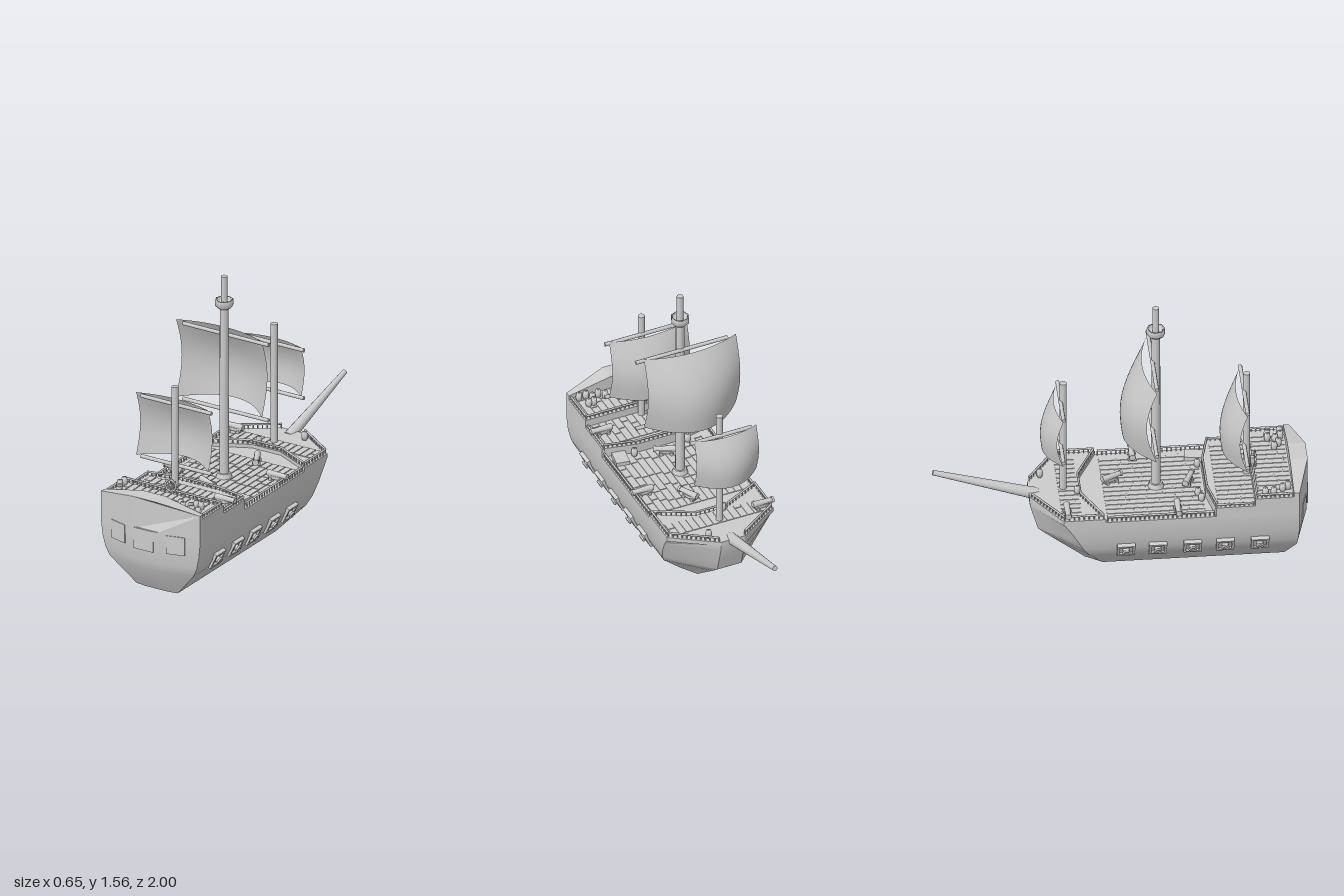
import * as THREE from 'three';
import { mergeGeometries, toCreasedNormals } from 'three/addons/utils/BufferGeometryUtils.js';

const grey = new THREE.MeshStandardMaterial({ color: 0xcccccc });
const thin = new THREE.MeshStandardMaterial({ color: 0xcccccc, side: THREE.DoubleSide });
const V = (x, y, z) => new THREE.Vector3(x, y, z);
const box = (w, h, d, x, y, z) => new THREE.BoxGeometry(w, h, d).translate(x, y, z);

// tapered round bar between two points
function bar(a, b, r0, r1 = r0, sides = 12) {
  const dir = b.clone().sub(a);
  const g = new THREE.CylinderGeometry(r1, r0, dir.length(), sides);
  g.applyQuaternion(new THREE.Quaternion().setFromUnitVectors(V(0, 1, 0), dir.clone().normalize()));
  const m = a.clone().add(b).multiplyScalar(0.5);
  return g.translate(m.x, m.y, m.z);
}

// flat slab from a plan outline of [x, z] points
function slab(pts, y0, y1) {
  const s = new THREE.Shape(pts.map(([x, z]) => new THREE.Vector2(x, -z)));
  return new THREE.ExtrudeGeometry(s, { depth: y1 - y0, bevelEnabled: false }).rotateX(-Math.PI / 2).translate(0, y0, 0);
}

// hull skin from plan loops: y, half width, stern side z, stern middle z, knuckle z, bow z
function hullGeometry() {
  const levels = [
    [0, 0.13, 0.87, 0.88, -0.10, -0.19],
    [0.15, 0.265, 0.925, 0.975, -0.185, -0.38],
    [0.2, 0.288, 0.93, 0.985, -0.215, -0.44],
    [0.27, 0.304, 0.935, 0.995, -0.25, -0.46],
    [0.35, 0.312, 0.935, 1, -0.295, -0.483],
    [0.39, 0.312, 0.935, 1, -0.325, -0.485],
  ];
  const loops = levels.map(([y, w, ss, sc, k, b]) =>
    [[w, ss], [w, k], [0.07, b], [-0.07, b], [-w, k], [-w, ss], [-0.07, sc], [0.07, sc]].map(([x, z]) => V(x, y, z)));
  const tri = [], n = 8, top = loops.length - 1;
  for (let i = 0; i < top; i++) for (let j = 0; j < n; j++) {
    const a = loops[i][j], b = loops[i][(j + 1) % n], c = loops[i + 1][(j + 1) % n], d = loops[i + 1][j];
    tri.push(a, b, c, a, c, d);
  }
  for (let j = 1; j < n - 1; j++) {
    tri.push(loops[0][0], loops[0][j + 1], loops[0][j]);
    tri.push(loops[top][0], loops[top][j], loops[top][j + 1]);
  }
  const g = new THREE.BufferGeometry().setFromPoints(tri);
  g.computeVertexNormals();
  return toCreasedNormals(g, 0.45);
}

// raised stern board whose outer face is bent to follow the transom
function sternBoard() {
  const s = new THREE.Shape([[-0.312, 0.38], [-0.07, 0.38], [0.07, 0.38], [0.312, 0.38], [0.312, 0.515],
    [0.07, 0.565], [-0.07, 0.565], [-0.312, 0.515]].map(p => new THREE.Vector2(...p)));
  const g = new THREE.ExtrudeGeometry(s, { depth: 1, bevelEnabled: false });
  const p = g.attributes.position;
  for (let i = 0; i < p.count; i++)
    p.setZ(i, p.getZ(i) < 0.5 ? 0.905 : Math.abs(p.getX(i)) > 0.1 ? 0.935 : 1);
  g.computeVertexNormals();
  return g;
}

// sail billowing towards the bow
function sailGeometry(x0, x1, y0, y1, z, s) {
  const g = new THREE.PlaneGeometry(2, 1, 20, 14), p = g.attributes.position;
  for (let i = 0; i < p.count; i++) {
    const u = p.getX(i), v = 0.5 - p.getY(i);
    p.setXYZ(i, THREE.MathUtils.lerp(x0, x1, (u + 1) / 2), THREE.MathUtils.lerp(y1, y0, v),
      z - s * (0.055 * Math.sin(Math.PI * v) + (0.055 + 0.105 * v) * (1 - u * u)));
  }
  g.computeVertexNormals();
  return g;
}

// low rail with balusters along a path of [x, z] points
function rail(pts, y) {
  const parts = [];
  for (let i = 0; i + 1 < pts.length; i++) {
    const a = V(pts[i][0], y, pts[i][1]), b = V(pts[i + 1][0], y, pts[i + 1][1]);
    const up = V(0, 0.03, 0), n = Math.max(1, Math.round(a.distanceTo(b) / 0.025));
    parts.push(bar(a.clone().add(up), b.clone().add(up), 0.006, 0.006, 6));
    for (let k = 0; k <= n; k++) {
      const q = a.clone().lerp(b, k / n);
      parts.push(bar(q, q.clone().add(up), 0.004, 0.004, 5));
    }
  }
  return mergeGeometries(parts);
}

// deck gun pointing along +x
function gunGeometry() {
  const parts = [bar(V(-0.06, 0.035, 0), V(0.06, 0.035, 0), 0.018, 0.013, 10),
    bar(V(0.05, 0.035, 0), V(0.062, 0.035, 0), 0.017, 0.017, 10), box(0.08, 0.018, 0.03, -0.01, 0.018, 0)];
  for (const x of [-0.035, 0.02]) parts.push(bar(V(x, 0.01, -0.022), V(x, 0.01, 0.022), 0.01, 0.01, 8));
  return mergeGeometries(parts);
}

// staggered planks running along the ship
function planks(x, z0, z1, y, seed) {
  const parts = [], step = 0.04;
  const rnd = () => (seed = (seed * 16807) % 2147483647) / 2147483647;
  for (let px = -x + step / 2; px < x; px += step)
    for (let z = z0; z < z1 - 0.01;) {
      const len = Math.min(0.06 + 0.12 * rnd(), z1 - z);
      parts.push(box(step - 0.005, 0.004, len - 0.005, px, y + 0.002, z + len / 2));
      z += len;
    }
  return mergeGeometries(parts);
}

export function createModel() {
  const ship = new THREE.Group();
  ship.name = 'sailingShip';
  const add = (name, geo, mat = grey, parent = ship) => {
    const m = new THREE.Mesh(geo, mat);
    m.name = name;
    parent.add(m);
    return m;
  };

  // hull and stepped decks
  const W = 0.312;
  add('hull', hullGeometry());
  add('sternBoard', sternBoard());
  add('aftDeck', slab([[-W, 0.93], [W, 0.93], [W, 0.7], [-W, 0.7]], 0.38, 0.49));
  add('quarterDeck', slab([[-W, 0.71], [W, 0.71], [W, 0.49], [0.13, 0.45], [-0.13, 0.45], [-W, 0.49]], 0.38, 0.445));
  add('foreDeck', slab([[-W, -0.1], [-0.09, -0.21], [0.09, -0.21], [W, -0.1], [W, -0.325], [0.07, -0.485],
    [-0.07, -0.485], [-W, -0.325]], 0.385, 0.41));
  add('aftPlanks', planks(0.28, 0.72, 0.9, 0.49, 11));
  add('quarterPlanks', planks(0.28, 0.5, 0.7, 0.445, 23));
  add('waistPlanks', planks(0.28, -0.09, 0.44, 0.39, 37));
  add('forePlanks', planks(0.28, -0.33, -0.22, 0.41, 51));

  // rails along the sides and the deck breaks
  const R = 0.302;
  for (const s of [-1, 1]) {
    add('waistRail', rail([[s * R, 0.48], [s * R, -0.09]], 0.388));
    add('foreRail', rail([[s * R, -0.11], [s * R, -0.32], [s * 0.075, -0.475]], 0.405));
    add('quarterRail', rail([[s * R, 0.69], [s * R, 0.49]], 0.43));
    add('aftRail', rail([[s * R, 0.9], [s * R, 0.71]], 0.48));
  }
  add('foreBreakRail', rail([[-R, -0.11], [-0.09, -0.215], [0.09, -0.215], [R, -0.11]], 0.405));
  add('quarterBreakRail', rail([[-R, 0.495], [-0.13, 0.456], [0.13, 0.456], [R, 0.495]], 0.435));
  add('aftBreakRail', rail([[-R, 0.71], [R, 0.71]], 0.48));

  // stern windows
  add('middleWindow', box(0.125, 0.12, 0.02, -0.005, 0.328, 0.993));
  for (const s of [-1, 1]) {
    const w = add('sideWindow', new THREE.BoxGeometry(0.105, 0.105, 0.02));
    w.position.set(s * 0.178, 0.326, 0.965);
    w.rotation.y = s * 0.265;
  }

  // gun ports on the slanted sides
  const port = new THREE.Shape([[-0.048, -0.048], [0.048, -0.048], [0.048, 0.048], [-0.048, 0.048]].map(p => new THREE.Vector2(...p)));
  port.holes.push(new THREE.Path([[-0.034, -0.034], [-0.034, 0.034], [0.034, 0.034], [0.034, -0.034]].map(p => new THREE.Vector2(...p))));
  const frame = new THREE.ExtrudeGeometry(port, { depth: 0.026, bevelEnabled: false }).translate(0, 0, -0.012);
  const muzzle = mergeGeometries([bar(V(0, 0, -0.03), V(0, 0, 0.025), 0.02, 0.017, 12),
    new THREE.TorusGeometry(0.017, 0.006, 6, 14).translate(0, 0, 0.024)]);
  const lid = box(0.07, 0.07, 0.014, 0, 0, -0.004);
  for (const s of [-1, 1]) for (const z of [0.725, 0.54, 0.365, 0.18, 0.01]) {
    const g = new THREE.Group();
    g.name = 'gunPort';
    g.position.set(s * 0.281, 0.187, z);
    g.rotation.set(0.45, s * Math.PI / 2, 0, 'YXZ');
    add('portFrame', frame, grey, g);
    add('portBack', lid, grey, g);
    add('portMuzzle', muzzle, grey, g);
    ship.add(g);
  }

  // masts, crow's nest and bowsprit
  const mx = -0.008;
  add('mizzenMast', bar(V(mx, 0.4, 0.68), V(mx, 1.1, 0.68), 0.019));
  add('foreMast', bar(V(mx, 0.38, -0.3), V(mx, 1.1, -0.3), 0.019));
  add('mainMast', bar(V(mx, 0.36, 0.195), V(mx, 1.39, 0.195), 0.026, 0.023));
  add('mainTopmast', bar(V(mx, 1.38, 0.195), V(mx, 1.56, 0.195), 0.018));
  add('mainMastCollar', bar(V(mx, 0.39, 0.195), V(mx, 0.42, 0.195), 0.045, 0.035));
  add('crowsNest', new THREE.LatheGeometry([[0, 1.37], [0.032, 1.375], [0.05, 1.392], [0.05, 1.425], [0.04, 1.425],
    [0.04, 1.4], [0, 1.4]].map(p => new THREE.Vector2(...p)), 8).translate(mx, 0, 0.195), thin);
  add('bowsprit', bar(V(mx, 0.385, -0.44), V(mx, 0.56, -0.997), 0.033, 0.014));

  // sails, each on two yards: x range, y range, z, depth, yard half length
  for (const [name, x0, x1, y0, y1, z, s, half] of [
    ['mizzen', -0.265, 0.19, 0.635, 0.998, 0.662, 0.74, 0.222],
    ['main', -0.325, 0.215, 0.775, 1.225, 0.172, 1, 0.27],
    ['fore', -0.215, 0.15, 0.7, 0.99, -0.318, 0.62, 0.18],
  ]) {
    add(name + 'Sail', sailGeometry(x0, x1, y0, y1, z, s), thin);
    for (const y of [y0 + 0.002, y1 - 0.01])
      add(name + 'Yard', bar(V(mx - half, y, z + 0.004), V(mx + half, y, z + 0.004), 0.011, 0.011, 8));
  }

  // deck guns: x, y, z, turn
  const gun = gunGeometry();
  for (const [x, y, z, turn] of [[-0.262, 0.412, -0.3, Math.PI], [0.262, 0.395, 0.09, 0], [-0.262, 0.395, 0.29, Math.PI],
    [0.262, 0.449, 0.605, 0], [0.05, 0.395, -0.035, -1.1], [0, 0.395, 0.37, -0.4]]) {
    const m = add('deckGun', gun);
    m.position.set(x, y, z);
    m.rotation.y = turn;
  }

  // steering wheel on its stand
  const wheel = [new THREE.TorusGeometry(0.032, 0.006, 8, 20)];
  for (let i = 0; i < 4; i++)
    wheel.push(bar(V(-0.045, 0, 0), V(0.045, 0, 0), 0.004, 0.004, 6).rotateZ(i * Math.PI / 4));
  add('wheel', mergeGeometries(wheel)).position.set(mx, 0.54, 0.725);
  add('wheelStand', box(0.025, 0.06, 0.02, mx, 0.518, 0.71));

  // barrels and hatch
  const barrel = new THREE.LatheGeometry([[0, 0], [0.014, 0], [0.018, 0.022], [0.014, 0.045], [0, 0.045]]
    .map(p => new THREE.Vector2(...p)), 10);
  for (const [x, y, z] of [[0.13, 0.49, 0.84], [0.16, 0.49, 0.865], [0.2, 0.49, 0.85], [0.21, 0.49, 0.81], [0.24, 0.49, 0.81],
    [0.225, 0.49, 0.88], [0.265, 0.49, 0.88], [-0.28, 0.49, 0.755], [-0.28, 0.49, 0.8], [-0.25, 0.49, 0.85], [-0.235, 0.49, 0.88],
    [-0.16, 0.39, 0.425], [-0.11, 0.39, 0.41], [0.15, 0.39, 0.43], [-0.06, 0.41, -0.19 - 0.04], [0.11, 0.41, -0.415]])
    add('barrel', barrel).position.set(x, y, z);
  const hatch = add('hatch', new THREE.BoxGeometry(0.075, 0.03, 0.1));
  hatch.position.set(0.235, 0.4, 0.42);
  hatch.rotation.y = -0.15;
  return ship;
}
